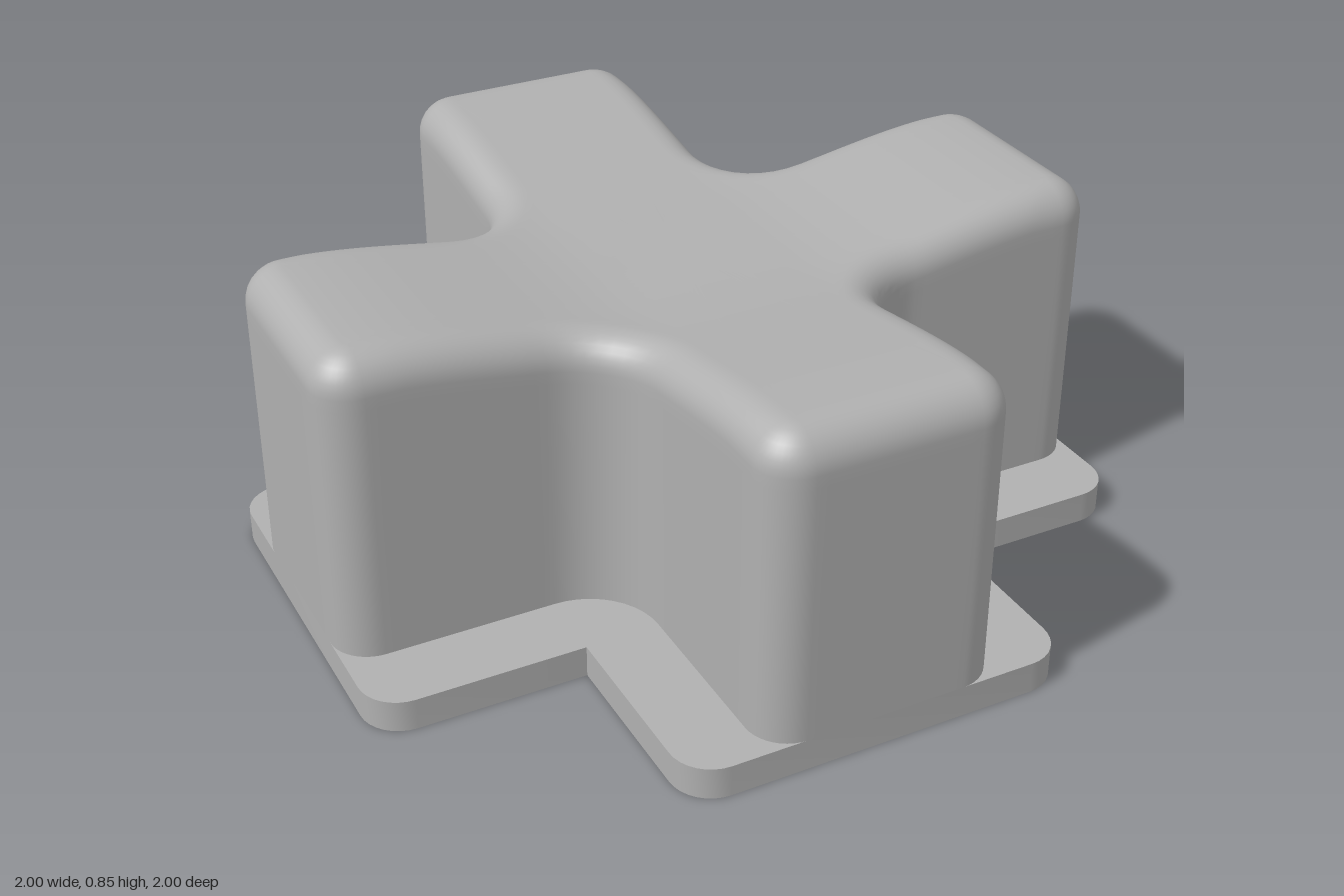
import * as THREE from 'three';
import { toCreasedNormals } from 'three/addons/utils/BufferGeometryUtils.js';

const grey = new THREE.MeshStandardMaterial({ color: 0xb0b0b0 });
grey.name = 'grey';

// Plus-shaped outline as [x, z, normalX, normalZ], one quarter turned four times.
function crossOutline(halfWidth, corner, fillet, arcSteps, lineSteps) {
  const quarter = [];
  const arc = (cx, cz, r, from, to, sign) => {
    for (let i = 0; i <= arcSteps; i++) {
      const a = from + (to - from) * i / arcSteps;
      const c = Math.cos(a), s = Math.sin(a);
      quarter.push([cx + r * c, cz + r * s, sign * c, sign * s]);
    }
  };
  const line = (x0, z0, x1, z1, nx, nz) => {
    for (let i = 1; i < lineSteps; i++) {
      const t = i / lineSteps;
      quarter.push([x0 + (x1 - x0) * t, z0 + (z1 - z0) * t, nx, nz]);
    }
  };
  const w = halfWidth, e = 1 - corner, f = w + fillet, q = Math.PI / 2;
  arc(e, w - corner, corner, 0, q, 1);
  line(e, w, f, w, 0, 1);
  if (fillet > 0) arc(f, f, fillet, 3 * q, 2 * q, -1);
  else quarter.push([w, w, 0, 1]);
  line(w, f, w, e, 1, 0);
  arc(w - corner, e, corner, 0, q, 1);
  line(w - corner, 1, corner - w, 1, 0, 1);

  const points = [];
  for (let k = 0; k < 4; k++) {
    const c = [1, 0, -1, 0][k], s = [0, 1, 0, -1][k];
    for (const [x, z, nx, nz] of quarter) {
      points.push([c * x - s * z, s * x + c * z, c * nx - s * nz, s * nx + c * nz]);
    }
  }
  return points;
}

// Height of the dished top: low in the middle, rising along each arm.
function topHeight(x, z) {
  const rise = (v) => THREE.MathUtils.smoothstep(Math.abs(v), 0.2, 0.91);
  return 0.765 + 0.08 * Math.min(1, rise(x) + rise(z));
}

// Upright walls, rounded rim and dished top, lofted ring by ring.
function bodyGeometry() {
  const outline = crossOutline(0.3, 0.1, 0.18, 10, 14);
  const n = outline.length, rim = 0.09, base = 0.08;
  const positions = [], index = [];
  let rings = 0;
  const addRing = (inset, scale, height) => {
    for (const [x, z, nx, nz] of outline) {
      const px = (x - nx * inset) * scale, pz = (z - nz * inset) * scale;
      positions.push(px, height(px, pz), pz);
    }
    rings++;
  };

  addRing(0, 1, () => base);
  addRing(0, 1, (x, z) => topHeight(x, z) - rim - 0.03);
  for (let i = 0; i <= 8; i++) {
    const a = (i / 8) * Math.PI / 2;
    addRing(rim * (1 - Math.cos(a)), 1, (x, z) => topHeight(x, z) - rim * (1 - Math.sin(a)));
  }
  for (let i = 1; i < 20; i++) addRing(rim, 1 - i / 20, topHeight);
  positions.push(0, topHeight(0, 0), 0);

  for (let k = 0; k < rings; k++) {
    for (let j = 0; j < n; j++) {
      const a = k * n + j, b = k * n + (j + 1) % n;
      if (k === rings - 1) index.push(a, rings * n, b);
      else index.push(a, a + n, b, b, a + n, b + n);
    }
  }
  const geometry = new THREE.BufferGeometry();
  geometry.setAttribute('position', new THREE.Float32BufferAttribute(positions, 3));
  geometry.setIndex(index);
  geometry.computeVertexNormals();
  return geometry;
}

// Flat foot plate with rounded arm ends and sharp inner corners.
function plateGeometry() {
  const points = crossOutline(0.485, 0.1, 0, 8, 1).map(([x, z]) => new THREE.Vector2(x, z));
  const geometry = new THREE.ExtrudeGeometry(new THREE.Shape(points), { depth: 0.08, bevelEnabled: false });
  geometry.rotateX(-Math.PI / 2);
  return toCreasedNormals(geometry, 0.6);
}

export function createModel() {
  const model = new THREE.Group();
  model.name = 'crossBlock';
  const add = (name, geometry) => {
    const mesh = new THREE.Mesh(geometry, grey);
    mesh.name = name;
    model.add(mesh);
  };
  add('basePlate', plateGeometry());
  add('crossBody', bodyGeometry());
  return model;
}
